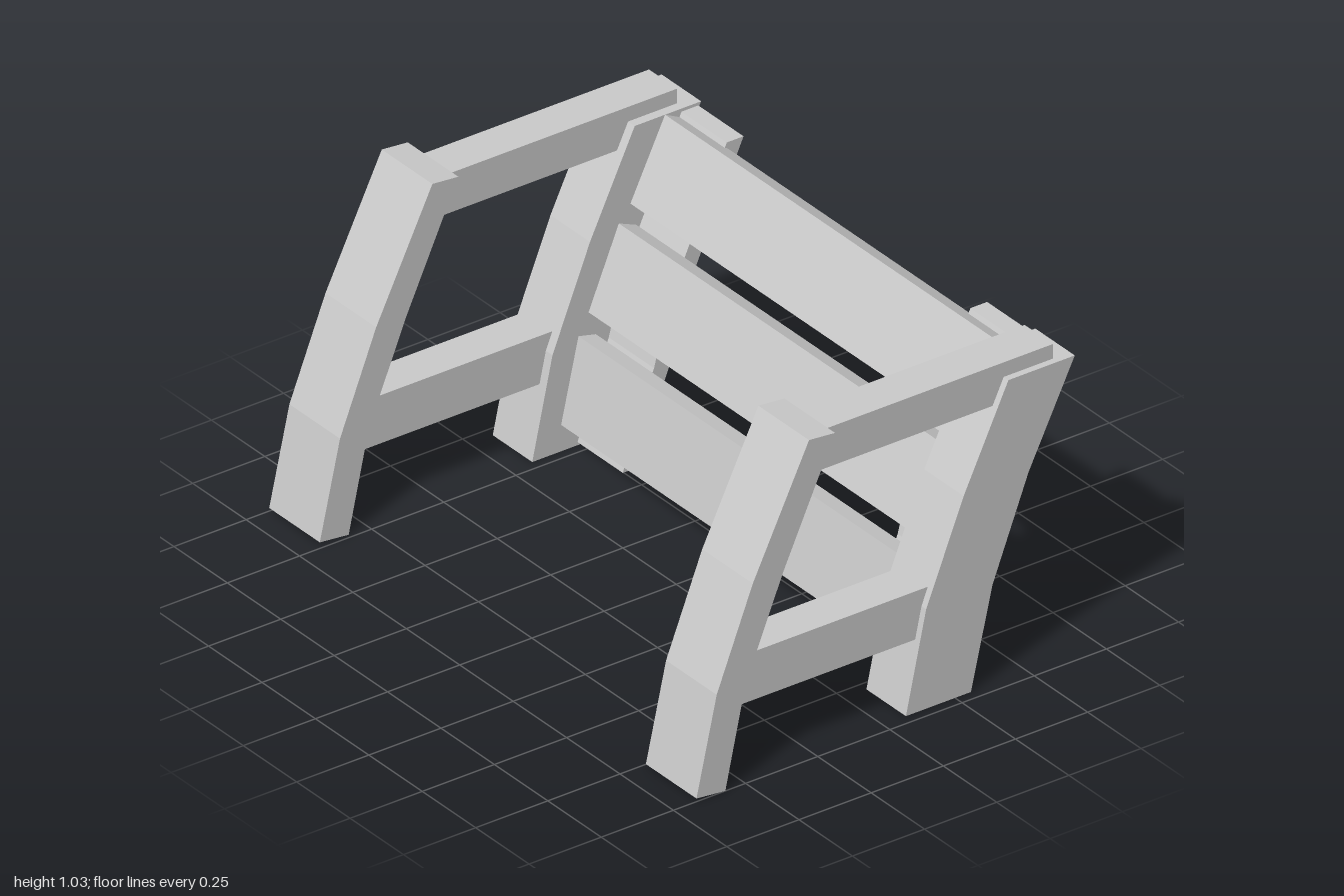
import * as THREE from 'three';

const material = new THREE.MeshStandardMaterial({ color: 0xcccccc, flatShading: true });

// Plank from a side profile of [z, y] points, spanning x0..x1
function plank(name, profile, x0, x1) {
  const shape = new THREE.Shape(profile.map(([z, y]) => new THREE.Vector2(z, y)));
  const geometry = new THREE.ExtrudeGeometry(shape, { depth: x1 - x0, bevelEnabled: false });
  geometry.translate(0, 0, -x1).rotateY(-Math.PI / 2);
  const mesh = new THREE.Mesh(geometry, material);
  mesh.name = name;
  return mesh;
}

// Bent board: front and back edges listed bottom to top
const bent = (front, back) => [...back, ...front.slice().reverse()];

const frontLeg = bent(
  [[0.67, 0.01], [0.6, 0.32], [0.475, 0.635], [0.28, 1.03]],
  [[0.57, 0], [0.5, 0.32], [0.37, 0.635], [0.19, 1.022]]);

const backLeg = bent(
  [[-0.08, 0], [-0.15, 0.32], [-0.28, 0.64], [-0.435, 0.96]],
  [[-0.305, 0], [-0.38, 0.32], [-0.505, 0.64], [-0.665, 0.96]]);

const battenBack = [[-0.295, 0.01], [-0.35, 0.18], [-0.403, 0.31], [-0.459, 0.52], [-0.655, 0.95]];
const batten = bent(battenBack.map(([z, y]) => [z + 0.058, y]), battenBack);

const armRest = [[0.23, 0.88], [-0.605, 0.88], [-0.605, 1.007], [0.2, 1.007]];
const lowerRail = [[0.53, 0.22], [-0.22, 0.22], [-0.22, 0.375], [0.472, 0.375]];

// Slats: front bottom corner, front top corner, thickness offset
const slats = [
  [[-0.18, 0.085], [-0.24, 0.35], [-0.06, -0.014]],
  [[-0.275, 0.415], [-0.38, 0.665], [-0.06, -0.025]],
  [[-0.42, 0.715], [-0.54, 0.96], [-0.06, -0.03]],
];

export function createModel() {
  const group = new THREE.Group();
  group.name = 'slattedFrame';

  // Side frames, mirrored left and right
  for (const [side, s] of [['left', 1], ['right', -1]]) {
    const add = (name, profile, a, b) =>
      group.add(plank(side + name, profile, Math.min(s * a, s * b), Math.max(s * a, s * b)));
    add('FrontLeg', frontLeg, 0.763, 1);
    add('BackLeg', backLeg, 0.782, 0.967);
    add('ArmRest', armRest, 0.813, 0.945);
    add('LowerRail', lowerRail, 0.813, 0.945);
    add('BackBatten', batten, 0.57, 0.82);
  }

  // Back slats, each tilted to follow the curve of the legs
  slats.forEach(([b, t, d], i) => {
    const profile = [b, [b[0] + d[0], b[1] + d[1]], [t[0] + d[0], t[1] + d[1]], t];
    group.add(plank('backSlat' + (i + 1), profile, -0.79, 0.79));
  });

  return group;
}
